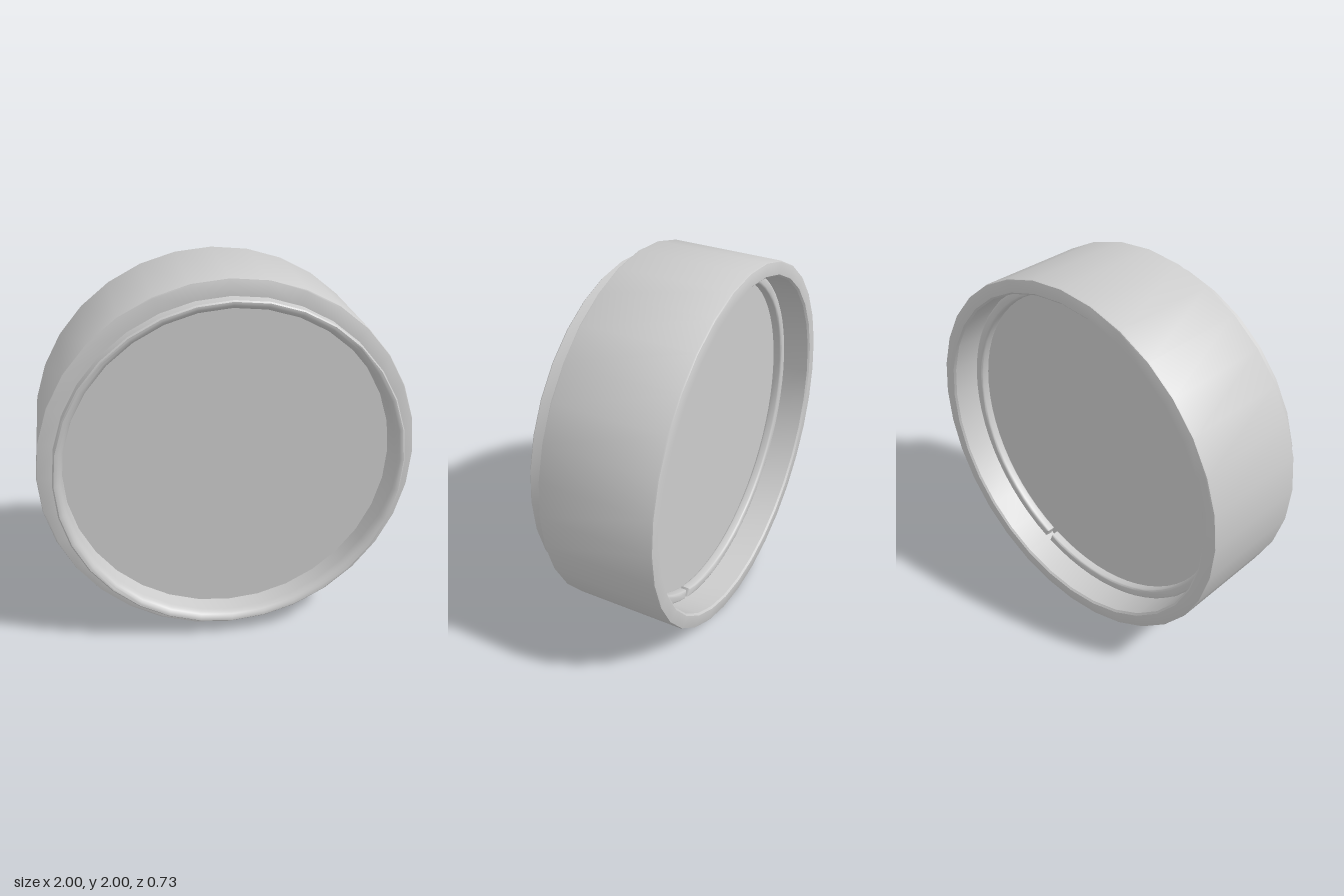
import * as THREE from 'three';
import { toCreasedNormals } from 'three/addons/utils/BufferGeometryUtils.js';

const SIDES = 32;

export function createModel() {
  const group = new THREE.Group();
  const material = new THREE.MeshStandardMaterial({ color: 0xcccccc });

  const add = (name, geometry) => {
    const mesh = new THREE.Mesh(toCreasedNormals(geometry, 0.6), material);
    mesh.name = name;
    mesh.position.y = 1;
    group.add(mesh);
  };

  // Spin a [radius, z] profile around the front-to-back axis
  const spin = (profile) =>
    new THREE.LatheGeometry(profile.map(([r, z]) => new THREE.Vector2(r, z)), SIDES).rotateX(Math.PI / 2);

  // Barrel: outer wall, thread groove, front lip, inner seat and rear recess
  add('barrel', spin([
    [0.93, -0.365], [0.99, -0.365], [0.997, -0.362], [1, -0.355],
    [1, 0.25], [0.997, 0.257], [0.99, 0.26],
    [0.905, 0.26], [0.905, 0.285],
    [0.915, 0.285], [0.92, 0.29], [0.92, 0.358], [0.913, 0.365],
    [0.905, 0.365], [0.893, 0.36], [0.882, 0.35], [0.874, 0.335], [0.87, 0.315],
    [0.87, -0.155], [0.92, -0.155], [0.92, -0.355], [0.93, -0.365],
  ]));

  // Glass filling the barrel between its front and rear seats
  add('glass', spin([[0, -0.155], [0.872, -0.155], [0.872, 0.22], [0, 0.22]]));

  // Retaining ring: two arcs separated by opposite slots
  const slotAngle = -Math.PI / 2 + 0.4;
  const halfSlot = 0.018;
  const bevel = 0.012;
  for (let i = 0; i < 2; i++) {
    const start = slotAngle + i * Math.PI + halfSlot;
    const end = slotAngle + (i + 1) * Math.PI - halfSlot;
    const arc = new THREE.Shape();
    arc.absarc(0, 0, 0.922, start, end, false);
    arc.absarc(0, 0, 0.868, end, start, true);
    const geometry = new THREE.ExtrudeGeometry(arc, {
      depth: 0.03, curveSegments: SIDES / 2,
      bevelSize: bevel, bevelThickness: bevel, bevelOffset: -bevel, bevelSegments: 3,
    });
    add('retainingRing' + (i + 1), geometry.translate(0, 0, -0.195));
  }

  return group;
}
